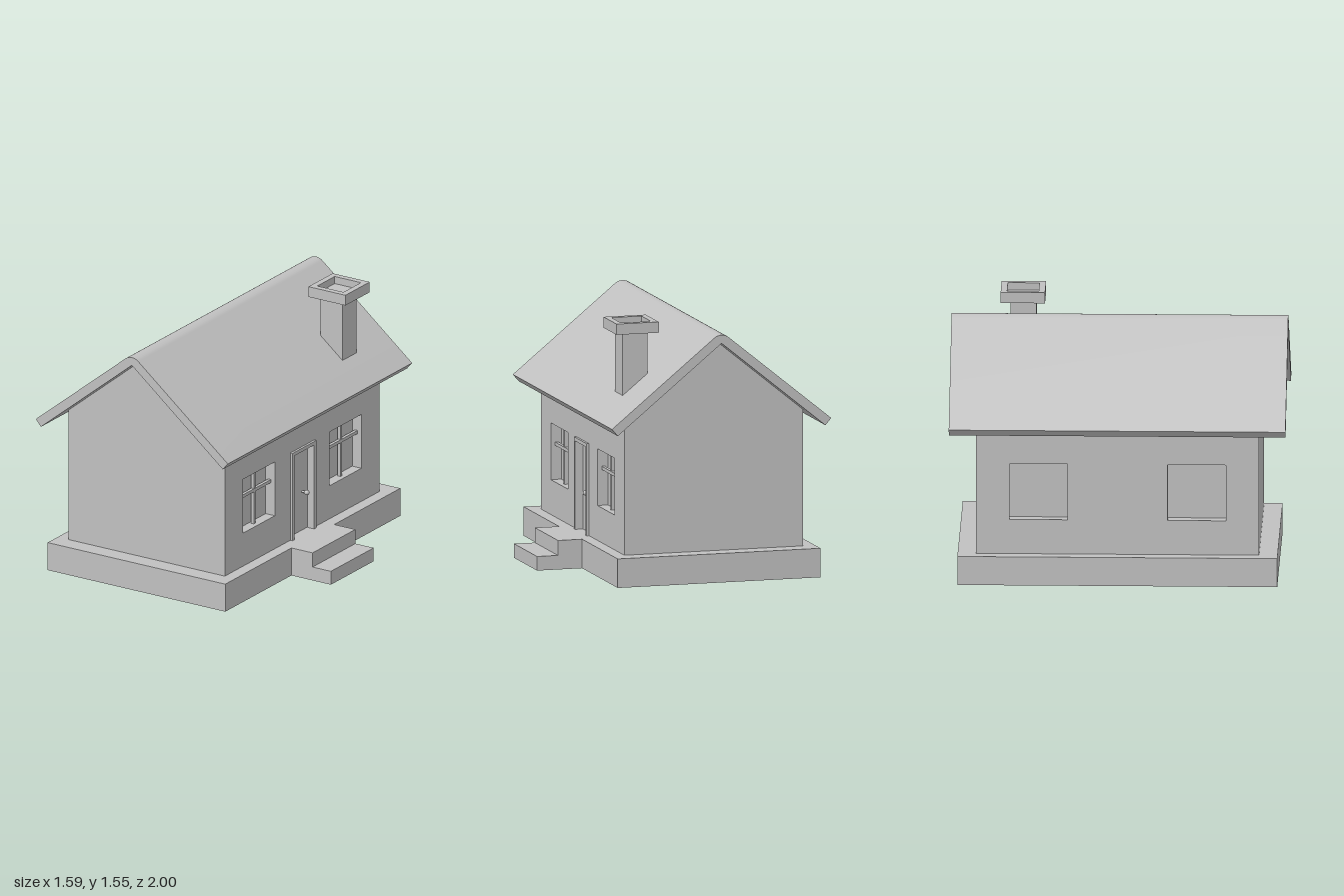
import * as THREE from 'three';
import { toCreasedNormals } from 'three/addons/utils/BufferGeometryUtils.js';

const gray = new THREE.MeshStandardMaterial({ color: 0xc0c0c0, side: THREE.DoubleSide });
gray.name = 'plain gray';

// Main sizes
const X0 = -0.67, X1 = 0.44, ZW = 0.84, BASE = 0.175;
const RIDGE_X = -0.115, RIDGE_Y = 1.45, SLOPE = 0.815;
const WALL_TOP = RIDGE_Y - SLOPE * (X1 - RIDGE_X);
const WIN = { z: 0.47, w: 0.345, y0: 0.385, y1: 0.727, depth: 0.065 };

export function createModel() {
  const model = new THREE.Group();

  const add = (name, geometry, parent = model) => {
    const mesh = new THREE.Mesh(geometry, gray);
    mesh.name = name;
    parent.add(mesh);
    return mesh;
  };

  // Box from its limits; "open" lists the faces left out (0..5 = +x -x +y -y +z -z)
  const box = (x0, x1, y0, y1, z0, z1, open = []) => {
    const g = new THREE.BoxGeometry(x1 - x0, y1 - y0, z1 - z0);
    g.translate((x0 + x1) / 2, (y0 + y1) / 2, (z0 + z1) / 2);
    if (open.length) {
      const kept = Array.from(g.index.array).filter((_, i) => !open.includes(Math.floor(i / 6)));
      g.clearGroups();
      g.setIndex(kept);
    }
    return g;
  };

  const poly = (points) => points.map(([x, y]) => new THREE.Vector2(x, y));
  const rect = (x0, x1, y0, y1) => poly([[x0, y0], [x1, y0], [x1, y1], [x0, y1]]);
  const holed = (outline, holes) => {
    const shape = new THREE.Shape(outline);
    holes.forEach((h) => shape.holes.push(new THREE.Path(h)));
    return shape;
  };

  // Foundation: open skirt with a ledge around the walls
  add('foundation', box(-0.745, 0.515, 0, BASE, -0.95, 0.95, [2, 3]));
  const ledge = holed(rect(-0.745, 0.515, -0.95, 0.95), [rect(X0, X1, -ZW, ZW)]);
  add('foundationLedge', new THREE.ShapeGeometry(ledge).rotateX(-Math.PI / 2).translate(0, BASE, 0));

  // Entrance steps
  const steps = new THREE.Shape(poly([[0.515, 0], [0.795, 0], [0.795, 0.085],
    [0.665, 0.085], [0.665, BASE], [0.515, BASE]]));
  add('steps', new THREE.ExtrudeGeometry(steps, { depth: 0.465, bevelEnabled: false }).translate(0, 0, -0.2325));

  // Gable walls
  const gable = new THREE.Shape(poly([[X0, BASE], [X1, BASE], [X1, WALL_TOP],
    [RIDGE_X, RIDGE_Y], [X0, WALL_TOP]]));
  add('frontGable', new THREE.ShapeGeometry(gable).translate(0, 0, ZW));
  add('backGable', new THREE.ShapeGeometry(gable).rotateY(Math.PI)
    .translate(X0 + X1, 0, -ZW));

  // Side walls with window openings, and a door opening on the right
  const windowHoles = [-1, 1].map((s) =>
    rect(s * WIN.z - WIN.w / 2, s * WIN.z + WIN.w / 2, WIN.y0, WIN.y1));
  const doorWall = poly([[-ZW, BASE], [-0.13, BASE], [-0.13, 0.73], [0.13, 0.73],
    [0.13, BASE], [ZW, BASE], [ZW, WALL_TOP], [-ZW, WALL_TOP]]);
  add('doorWall', new THREE.ShapeGeometry(holed(doorWall, windowHoles))
    .rotateY(Math.PI / 2).translate(X1, 0, 0));
  add('plainWall', new THREE.ShapeGeometry(holed(rect(-ZW, ZW, BASE, WALL_TOP), windowHoles))
    .rotateY(-Math.PI / 2).translate(X0, 0, 0));

  // Recessed windows; the door side has glazing bars
  for (const s of [-1, 1]) {
    const z0 = s * WIN.z - WIN.w / 2, z1 = z0 + WIN.w;
    const barY = s > 0 ? 0.6 : 0.61;
    const win = new THREE.Group();
    win.name = 'barredWindow';
    model.add(win);
    add('windowRecess', box(X1 - WIN.depth, X1, WIN.y0, WIN.y1, z0, z1, [0]), win);
    add('uprightBar', box(0.39, 0.41, WIN.y0, WIN.y1, s * WIN.z - 0.009, s * WIN.z + 0.009), win);
    add('crossBar', box(0.393, 0.413, barY - 0.01, barY + 0.01, z0, z1), win);
    add('plainWindow', box(X0, X0 + WIN.depth, WIN.y0, WIN.y1, z0, z1, [1]));
  }

  // Door with frame and knob
  add('doorRecess', box(0.405, X1, BASE, 0.73, -0.13, 0.13, [0]));
  const frame = new THREE.Shape(poly([[-0.13, BASE], [-0.105, BASE], [-0.105, 0.708],
    [0.105, 0.708], [0.105, BASE], [0.13, BASE], [0.13, 0.73], [-0.13, 0.73]]));
  add('doorFrame', new THREE.ExtrudeGeometry(frame, { depth: 0.048, bevelEnabled: false })
    .rotateY(Math.PI / 2).translate(0.407, 0, 0));
  add('doorKnob', new THREE.SphereGeometry(0.016, 20, 14).translate(0.438, 0.42, -0.053));
  add('knobStem', new THREE.CylinderGeometry(0.007, 0.007, 0.03, 16)
    .rotateZ(Math.PI / 2).translate(0.42, 0.42, -0.053));

  // Roof: bent slab with a rounded ridge
  const angle = Math.atan(SLOPE), r = 0.072;
  const roof = new THREE.Shape();
  roof.moveTo(RIDGE_X, RIDGE_Y);
  roof.lineTo(RIDGE_X + 0.645, 0.924);
  roof.lineTo(RIDGE_X + 0.681, 0.966);
  roof.absarc(RIDGE_X, 1.5 - r, r, Math.PI / 2 - angle, Math.PI / 2 + angle, false);
  roof.lineTo(RIDGE_X - 0.681, 0.966);
  roof.lineTo(RIDGE_X - 0.645, 0.924);
  roof.closePath();
  const roofGeometry = new THREE.ExtrudeGeometry(roof, { depth: 2, bevelEnabled: false, curveSegments: 12 });
  add('roof', toCreasedNormals(roofGeometry.translate(0, 0, -1), 0.5));

  // Chimney: shaft with its foot cut along the roof, and a hollow cap
  const shaft = new THREE.Shape(poly([[0.24, 1.21], [0.395, 1.084], [0.395, 1.485], [0.24, 1.485]]));
  add('chimneyShaft', new THREE.ExtrudeGeometry(shaft, { depth: 0.155, bevelEnabled: false })
    .translate(0, 0, -0.66));
  const cap = holed(rect(0.188, 0.45, 0.453, 0.717), [rect(0.226, 0.412, 0.491, 0.679)]);
  add('chimneyCap', new THREE.ExtrudeGeometry(cap, { depth: 0.045, bevelEnabled: false })
    .rotateX(-Math.PI / 2).translate(0, 1.503, 0));
  add('chimneyCapBase', box(0.188, 0.45, 1.483, 1.503, -0.717, -0.453));

  return model;
}
